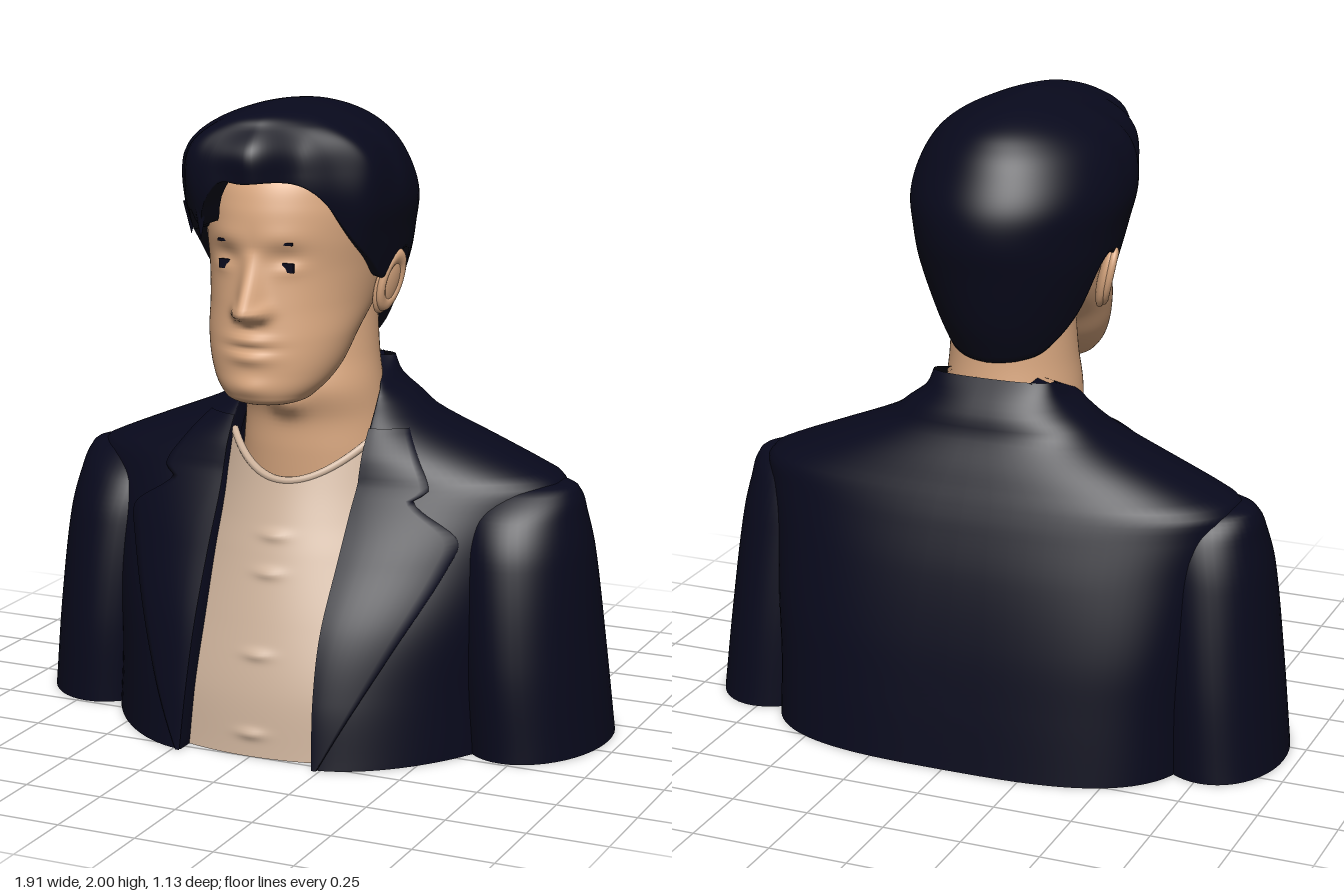
import * as THREE from 'three';
import { mergeVertices } from 'three/addons/utils/BufferGeometryUtils.js';

const material = (name, color) => {
  const m = new THREE.MeshStandardMaterial({ color, side: THREE.DoubleSide });
  m.name = name;
  return m;
};

// smooth lookup in rows sorted by their first number
function sample(rows, t) {
  const n = rows.length - 1;
  t = Math.min(Math.max(t, rows[0][0]), rows[n][0]);
  let i = 0;
  while (i < n - 1 && t > rows[i + 1][0]) i++;
  const a = rows[i], b = rows[i + 1], h = b[0] - a[0], s = (t - a[0]) / h;
  const p = rows[Math.max(i - 1, 0)], q = rows[Math.min(i + 2, n)];
  return a.map((v, k) => {
    const m0 = (b[k] - p[k]) / (b[0] - p[0]) * h, m1 = (q[k] - v) / (q[0] - a[0]) * h;
    const s2 = s * s, s3 = s2 * s;
    return (2 * s3 - 3 * s2 + 1) * v + (s3 - 2 * s2 + s) * m0 + (3 * s2 - 2 * s3) * b[k] + (s3 - s2) * m1;
  });
}

// smooth surface from point(u, v), u running around and v running up
function surface(nu, nv, point) {
  const pos = [], idx = [];
  for (let j = 0; j <= nv; j++) for (let i = 0; i <= nu; i++) pos.push(...point(i / nu, j / nv));
  for (let j = 0; j < nv; j++) for (let i = 0; i < nu; i++) {
    const a = j * (nu + 1) + i, c = a + nu + 1;
    idx.push(a, a + 1, c + 1, a, c + 1, c);
  }
  let g = new THREE.BufferGeometry();
  g.setAttribute('position', new THREE.Float32BufferAttribute(pos, 3));
  g.setIndex(idx);
  g = mergeVertices(g, 1e-5);
  g.computeVertexNormals();
  return g;
}

// flat underside at y = 0 from [x, z] points
const underside = pts =>
  new THREE.ShapeGeometry(new THREE.Shape(pts.map(p => new THREE.Vector2(...p)))).rotateX(Math.PI / 2);

const bump = (d, w) => Math.exp(-(d * d) / (w * w));
const { lerp, smoothstep, clamp } = THREE.MathUtils;

// jacket: y, half width, front z, back z, opening half width, side z
const JACKET = [
  [0, .7, .53, -.57, .225, -.1], [.2, .7, .5, -.545, .215, -.1], [.4, .72, .44, -.515, .212, -.08],
  [.6, .75, .33, -.47, .22, -.06], [.75, .785, .24, -.42, .225, -.06], [.82, .79, .2, -.39, .23, -.07],
  [.85, .735, .19, -.375, .23, -.07], [.91, .59, .165, -.345, .23, -.08], [1, .37, .1, -.295, .23, -.09],
  [1.05, .3, .05, -.28, .225, -.1], [1.1, .235, 0, -.25, .215, -.11], [1.16, .2, -.12, -.2, .14, -.15]];
const N = 48;
function jacketPoint(u, y) {
  const [, hw, zf, zb, xe, zm] = sample(JACKET, y);
  const side = u <= .5 ? 1 : -1, t = u <= .5 ? 2 * u : 2 - 2 * u;
  if (t < 1e-6) return [side * xe, y, zf - .08];
  const a = (t - 1 / N) / (1 - 1 / N) * Math.PI;
  const s = Math.max(Math.sin(a), 0), c = Math.abs(Math.cos(a));
  if (a < Math.PI / 2) return [side * (xe + (hw - xe) * s ** 1.2), y, zm + (zf - zm) * c ** 1.2];
  const p = lerp(.65, .8, smoothstep(y, .3, .9));
  return [side * hw * s ** p, y, zm + (zb - zm) * c ** p];
}
function jacketZ(x, y) {
  const [, hw, zf, , xe, zm] = sample(JACKET, y);
  const s = clamp((x - xe) / (hw - xe), 0, 1) ** (1 / 1.2);
  return zm + (zf - zm) * Math.sqrt(1 - s * s) ** 1.2;
}
const LAPEL = [[0, .24], [.35, .42], [.6, .54], [.68, .55], [.78, .41], [.81, .45], [.9, .4], [.98, .34]];

// sleeve: y, centre x, centre z, radius x, radius z
const SLEEVE = [[0, .745, -.06, .21, .3], [.3, .72, -.05, .203, .29], [.6, .69, -.05, .2, .25],
  [.72, .67, -.06, .195, .21], [.79, .66, -.075, .185, .155], [.82, .65, -.08, .15, .1], [.835, .64, -.08, 0, 0]];
const sleevePoint = (u, y) => {
  const [, cx, cz, rx, rz] = sample(SLEEVE, y), a = u * 2 * Math.PI;
  return [cx + rx * Math.sin(a) - .08 * rz * Math.cos(a), y, cz + rz * Math.cos(a)];
};

// shirt front with small folds
const SHIRT = [[0, .5, .6], [.2, .475, .7], [.4, .42, 1], [.6, .35, 1.4], [.7, .31, 1.6], [.8, .272, 1.7], [.95, .22, 1.7]];
const shirtZ = (x, y) => {
  const [, z, k] = sample(SHIRT, y);
  const folds = [.66, .55, .31, .07].reduce((sum, f) => sum + bump(y - f, .016), 0);
  return z - k * x * x + .011 * folds * bump(x, .045);
};
const neckline = x => .82 + 2.2 * x * x;

// head and neck: y, half width, front z, back z
const HEAD = [[1.095, 0, .37, .36], [1.1, .09, .45, .28], [1.13, .145, .485, .2], [1.2, .195, .49, .1], [1.3, .226, .485, 0],
  [1.4, .245, .477, -.15], [1.5, .26, .468, -.22], [1.6, .27, .472, -.24], [1.7, .268, .465, -.23],
  [1.8, .24, .42, -.17], [1.88, .15, .3, -.05], [1.92, 0, .15, .15]];
const NECK = [[.74, .26, .19, -.24], [.9, .24, .2, -.21], [1, .228, .205, -.2], [1.1, .216, .235, -.195],
  [1.2, .203, .22, -.185], [1.4, .19, .2, -.18]];
const ring = (rows, th, y) => {
  const [, hw, zf, zb] = sample(rows, y);
  return [hw * Math.sin(th), y, (zf + zb) / 2 + (zf - zb) / 2 * Math.cos(th)];
};

// nose, lips, brows, eye sockets and chin raised from the face
function faceRelief(x, y) {
  const ax = Math.abs(x);
  const slope = smoothstep(y, 1.34, 1.385) * clamp((1.575 - y) / .18, 0, 1);
  const nose = .078 * slope * bump(x, .026 + .016 * slope) + .02 * bump(ax - .043, .022) * bump(y - 1.385, .025);
  const lips = (.015 * (bump(y - 1.302, .018) + bump(y - 1.25, .022)) - .006 * bump(y - 1.277, .009)) * bump(x, .07);
  const brow = .007 * bump(y - 1.61, .035) * bump(ax - .09, .09);
  const socket = -.014 * bump(ax - .095, .05) * bump(y - 1.55, .035) + .007 * bump(ax - .11, .04) * bump(y - 1.515, .02);
  return nose + lips + brow + socket + .01 * bump(y - 1.16, .03) * bump(x, .06);
}
function headPoint(th, y) {
  const p = ring(HEAD, th, y);
  if (Math.cos(th) > 0) p[2] += faceRelief(p[0], y) * Math.min(1, Math.cos(th) * 2);
  return p;
}
const faceZ = (x, y) => headPoint(Math.asin(x / sample(HEAD, y)[1]), y)[2];

// hair sections, and the hairline as [degrees from front, y]
const HAIR = [[1.2, .19, .3, -.19], [1.33, .25, .4, -.25], [1.5, .305, .43, -.3], [1.6, .325, .49, -.325],
  [1.7, .342, .53, -.32], [1.8, .325, .55, -.275], [1.88, .28, .545, -.22], [1.94, .2, .49, -.14],
  [1.98, .1, .4, 0], [2, 0, .2, .2]];
const SIDE_LINE = [[60, 1.55], [75, 1.46], [85, 1.5], [95, 1.54], [103, 1.5], [112, 1.36], [130, 1.25], [150, 1.22], [180, 1.21]];
const HAIRLINE = [...SIDE_LINE.map(([d, y]) => [-d, y]).reverse(),
  [-50, 1.6], [-41, 1.62], [-34, 1.69], [-27, 1.64], [-20, 1.72], [-12, 1.78], [0, 1.78], [20, 1.78], [33, 1.74], [45, 1.64],
  ...SIDE_LINE];
function hairPoint(u, v) {
  const deg = u > .5 ? u * 360 - 360 : u * 360, th = deg * Math.PI / 180;
  const yb = sample(HAIRLINE, deg)[1], inner = v === 0;
  const y = yb + (2 - yb) * Math.sin(Math.max(0, (v - 1 / 60) / (1 - 1 / 60)) * Math.PI / 2);
  const p = ring(HAIR, th, Math.min(y, 2));
  // fringe swept towards the right, parted on the left
  const front = smoothstep(p[2], .25, .45);
  p[2] += front * (.045 * bump(p[0] + .16, .1) - .06 * smoothstep(p[0], .02, .15));
  const lock = .01 * Math.sin(34 * p[2] + 18 * p[0]) * smoothstep(y, 1.7, 1.85) * smoothstep(p[2], -.1, .2) * Math.min(1, (2 - y) * 15);
  p[0] *= 1 + lock * 2;
  p[2] += lock;
  if (inner) { p[0] *= .83; p[2] = .1 + (p[2] - .1) * .83; p[1] += .01; }
  return p;
}

export function createModel() {
  const model = new THREE.Group();
  model.name = 'bust';
  const navy = material('navy', 0x08091c);
  const skin = material('skin', 0xdba981);
  const cream = material('cream', 0xcdb29b);
  const add = (name, geometry, mat, x = 0, y = 0, z = 0) => {
    const m = new THREE.Mesh(geometry, mat);
    m.name = name;
    m.position.set(x, y, z);
    model.add(m);
    return m;
  };
  const steps = n => Array.from({ length: n + 1 }, (_, i) => i / n);

  // jacket body and its underside
  add('jacket', surface(2 * N, 60, (u, v) => jacketPoint(u, v * 1.16)), navy);
  add('jacketUnderside', underside([...steps(2 * N).map(u => jacketPoint(u, 0)).map(p => [p[0], p[2]]),
    ...steps(8).map(t => lerp(-.22, .22, t)).map(x => [x, shirtZ(x, 0)])]), navy);

  // lapels and sleeves, mirrored
  for (const [side, label] of [[1, 'left'], [-1, 'right']]) {
    add(label + 'Lapel', surface(10, 70, (u, v) => {
      const y = v * .98, xe = sample(JACKET, y)[4];
      const x = lerp(xe, Math.max(sample(LAPEL, y)[1], xe + .01), Math.min(1, u / .9));
      return [side * x, y, jacketZ(x, y) + (u === 1 ? -.01 : .009)];
    }), navy);
    add(label + 'Sleeve', surface(48, 40, (u, v) => {
      const p = sleevePoint(u, .835 * Math.sin(v * Math.PI / 2));
      return [side * p[0], p[1], p[2]];
    }), navy);
    add(label + 'SleeveUnderside', underside(steps(48).map(u => sleevePoint(u, 0)).map(p => [side * p[0], p[2]])), navy);
  }

  // shirt with neckband
  add('shirt', surface(40, 110, (u, v) => {
    const x = lerp(-.25, .25, u), y = v * neckline(x);
    return [x, y, shirtZ(x, y)];
  }), cream);
  const band = new THREE.CatmullRomCurve3(steps(12).map(t => {
    const x = lerp(-.23, .23, t), y = neckline(x);
    return new THREE.Vector3(x, y, shirtZ(x, y) - .008);
  }));
  add('neckband', new THREE.TubeGeometry(band, 40, .013, 8), cream);

  // neck and head
  add('neck', surface(64, 40, (u, v) => {
    const p = ring(NECK, u * 2 * Math.PI, .74 + v * .66);
    if (p[2] > 0) p[2] += .035 * bump(p[1] - 1.06, .04) * bump(p[0], .05);
    return p;
  }), skin);
  add('head', surface(160, 100, (u, v) => {
    const y = 1.095 + .825 * (1 - Math.cos(v * Math.PI)) / 2;
    return headPoint(u * 2 * Math.PI, y);
  }), skin);

  // ears and eyes
  for (const side of [1, -1]) {
    const ear = new THREE.Group();
    ear.name = side > 0 ? 'leftEar' : 'rightEar';
    const lobe = new THREE.Mesh(new THREE.SphereGeometry(1, 20, 16).scale(.024, .1, .05), skin);
    lobe.name = 'earShell';
    const rim = new THREE.Mesh(new THREE.TorusGeometry(.04, .013, 10, 32).scale(1, 1.9, 1).rotateY(Math.PI / 2), skin);
    rim.name = 'earRim';
    rim.position.set(side * .012, .012, 0);
    ear.add(lobe, rim);
    ear.position.set(side * .275, 1.435, .09);
    ear.rotation.set(-.2, side * -.25, side * -.26);
    model.add(ear);
    const x = side * .105;
    add('eye', new THREE.BoxGeometry(.036, .028, .008), navy, x, 1.522, faceZ(x, 1.522));
    add('browMark', new THREE.BoxGeometry(.036, .008, .008), navy, x, 1.595, faceZ(x, 1.595));
  }

  // hair with loose strands over the forehead
  add('hair', surface(144, 60, hairPoint), navy);
  for (const [x, y, z, h] of [[-.145, 1.67, .515, .14], [-.225, 1.65, .42, .1]])
    add('hairStrand', new THREE.ConeGeometry(.025, h, 10).rotateX(Math.PI), navy, x, y, z);
  return model;
}
